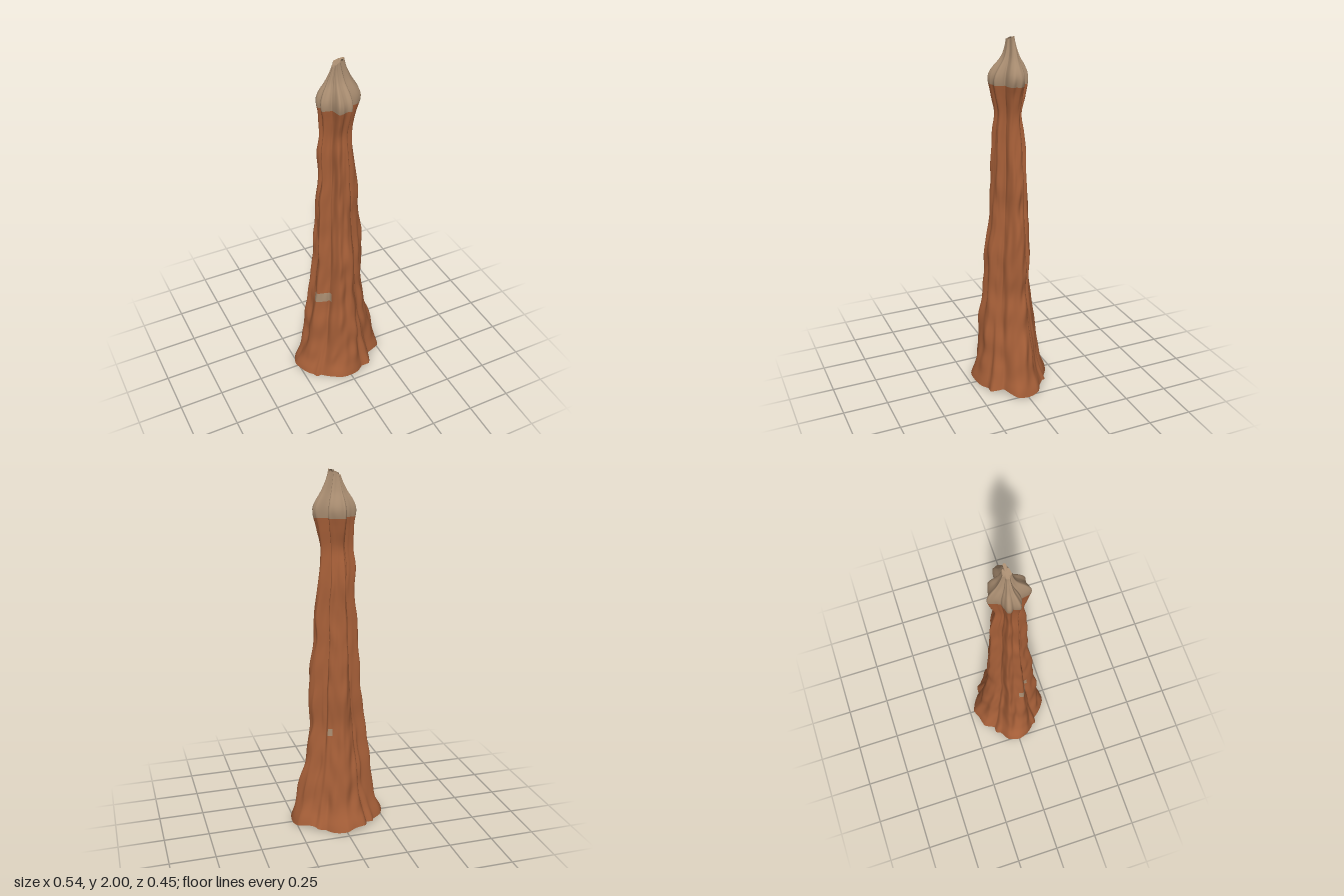
import * as THREE from 'three';

const COLUMNS = 120;

// Half-widths every 0.1 of height: -x, +x, +z, -z
const EXTENTS = [
  [.27, .265, .225, .225], [.235, .24, .205, .19], [.205, .22, .19, .17], [.195, .20, .185, .16],
  [.185, .175, .175, .145], [.165, .165, .16, .13], [.155, .15, .15, .115], [.14, .155, .145, .12],
  [.13, .155, .145, .12], [.125, .15, .13, .115], [.12, .14, .115, .11], [.115, .125, .11, .105],
  [.115, .13, .105, .095], [.10, .12, .10, .09], [.095, .105, .095, .095], [.10, .095, .09, .08],
  [.085, .09, .08, .065], [.09, .11, .10, .085], [.10, .132, .11, .10], [.055, .08, .045, .05],
  [.02, .045, .022, .022],
];
const xCurve = new THREE.SplineCurve(EXTENTS.map(e => new THREE.Vector2(e[0], e[1])));
const zCurve = new THREE.SplineCurve(EXTENTS.map(e => new THREE.Vector2(e[2], e[3])));

// Ragged foot outline and four-lobed crown outline, as x, z
const FOOT = [
  [-.27, 0], [-.245, -.07], [-.19, -.10], [-.18, -.13], [-.14, -.13], [-.115, -.19], [-.05, -.205],
  [0, -.225], [.03, -.215], [.11, -.16], [.155, -.155], [.165, -.13], [.20, -.10], [.25, -.07],
  [.265, .04], [.26, .065], [.22, .09], [.165, .11], [.14, .18], [.09, .175], [.05, .205],
  [-.04, .225], [-.07, .22], [-.12, .185], [-.16, .135], [-.19, .135], [-.20, .11], [-.24, .07],
];
const CROWN = [
  [-.10, -.03], [-.07, -.035], [-.04, -.04], [-.03, -.07], [-.02, -.10], [.02, -.085], [.065, -.07],
  [.05, -.04], [.085, -.035], [.12, -.03], [.135, 0], [.10, .045], [.055, .05], [.05, .08],
  [.04, .10], [0, .10], [-.03, .11], [-.04, .08], [-.045, .05], [-.075, .045], [-.10, .04], [-.085, .005],
];

// Outline as radius over angle, scaled to unit half-widths
function polar(points, [l, r, f, b]) {
  const list = points.map(([x, z]) => {
    const u = x / (x < 0 ? l : r), v = z / (z > 0 ? f : b);
    return [(Math.atan2(v, u) + 2 * Math.PI) % (2 * Math.PI), Math.hypot(u, v)];
  }).sort((p, q) => p[0] - q[0]);
  const first = list[0], last = list[list.length - 1];
  list.unshift([last[0] - 2 * Math.PI, last[1]]);
  list.push([first[0] + 2 * Math.PI, first[1]]);
  return angle => {
    let i = 1;
    while (i < list.length - 1 && list[i][0] < angle) i++;
    const [a, ra] = list[i - 1], [c, rc] = list[i];
    return THREE.MathUtils.lerp(ra, rc, (angle - a) / (c - a || 1));
  };
}
const footRadius = polar(FOOT, EXTENTS[0]);
const crownRadius = polar(CROWN, EXTENTS[18]);

// Weathering: long vertical ribs broken by smaller ledges
function weather(a, y) {
  const fade = Math.min(1, y / 0.15);
  return 1 + fade * (0.03 * Math.sin(9 * a + 2.5 * Math.sin(3 * y)) +
    0.025 * Math.sin(17 * a + 5 * y) * Math.sin(8 * y + 2 * a) +
    0.022 * Math.sin(31 * y + 3 * Math.sin(3 * a)) * Math.sin(5 * a + 4 * y));
}

function spirePoint(a, y) {
  const t = Math.pow(Math.min(1, y / 1.2), 0.75);
  const r = THREE.MathUtils.lerp(footRadius(a), crownRadius(a), t) * weather(a, y);
  const u = r * Math.cos(a), v = r * Math.sin(a);
  const ex = xCurve.getPoint(y / 2), ez = zCurve.getPoint(y / 2);
  // Wavy foot edge and an uneven tip
  const foot = Math.max(0, 1 - y / 0.1) * 0.01 * (1 + Math.sin(5 * a - 1.5));
  const tip = Math.max(0, (y - 1.85) / 0.15) * 0.016 * (1 - Math.cos(a));
  return [u * (u < 0 ? ex.x : ex.y), y + foot - tip, v * (v > 0 ? ez.x : ez.y)];
}

export function createModel() {
  const group = new THREE.Group();
  const rock = new THREE.MeshStandardMaterial({ name: 'rustRock', color: 0xa65f38 });
  const pale = new THREE.MeshStandardMaterial({ name: 'paleRock', color: 0xa88c70 });

  // Ring heights, with exact rows at the colour borders
  const heights = [0];
  for (const [top, rows] of [[.53, 24], [.59, 3], [1.755, 52], [2, 20]]) {
    const from = heights[heights.length - 1];
    for (let i = 1; i <= rows; i++) heights.push(from + (top - from) * i / rows);
  }

  const positions = [];
  for (const y of heights) {
    for (let j = 0; j < COLUMNS; j++) positions.push(...spirePoint(j / COLUMNS * 2 * Math.PI, y));
  }
  const tipCentre = positions.length / 3;
  positions.push(0.012, 1.965, 0);

  // Sort the faces into parts
  const parts = { rockShaft: [], paleCap: [], palePatches: [] };
  for (let i = 0; i < heights.length - 1; i++) {
    const mid = (heights[i] + heights[i + 1]) / 2;
    for (let j = 0; j < COLUMNS; j++) {
      const k = (j + 1) % COLUMNS, deg = (j + .5) * 360 / COLUMNS;
      const a = i * COLUMNS + j, b = i * COLUMNS + k, c = a + COLUMNS, d = b + COLUMNS;
      const patch = mid > .53 && mid < .59 &&
        ((deg > 126 && deg < 168) || (mid > .55 && deg > 294 && deg < 306));
      const part = mid > 1.755 ? 'paleCap' : patch ? 'palePatches' : 'rockShaft';
      parts[part].push(a, c, b, b, c, d);
    }
  }
  const rim = (heights.length - 1) * COLUMNS;
  for (let j = 0; j < COLUMNS; j++) parts.paleCap.push(tipCentre, rim + (j + 1) % COLUMNS, rim + j);

  // Normals come from the whole surface so the parts join smoothly
  const whole = new THREE.BufferGeometry();
  whole.setAttribute('position', new THREE.Float32BufferAttribute(positions, 3));
  whole.setIndex(Object.values(parts).flat());
  whole.computeVertexNormals();
  for (const [name, index] of Object.entries(parts)) {
    const geometry = whole.clone();
    geometry.setIndex(index);
    const mesh = new THREE.Mesh(geometry, name === 'rockShaft' ? rock : pale);
    mesh.name = name;
    group.add(mesh);
  }

  // Underside
  const under = new THREE.BufferGeometry();
  const underIndex = [];
  for (let j = 0; j < COLUMNS; j++) underIndex.push(COLUMNS, j, (j + 1) % COLUMNS);
  under.setAttribute('position', new THREE.Float32BufferAttribute(
    [...positions.slice(0, COLUMNS * 3), 0, 0.015, 0], 3));
  under.setIndex(underIndex);
  under.computeVertexNormals();
  const underside = new THREE.Mesh(under, rock);
  underside.name = 'underside';
  group.add(underside);

  return group;
}
